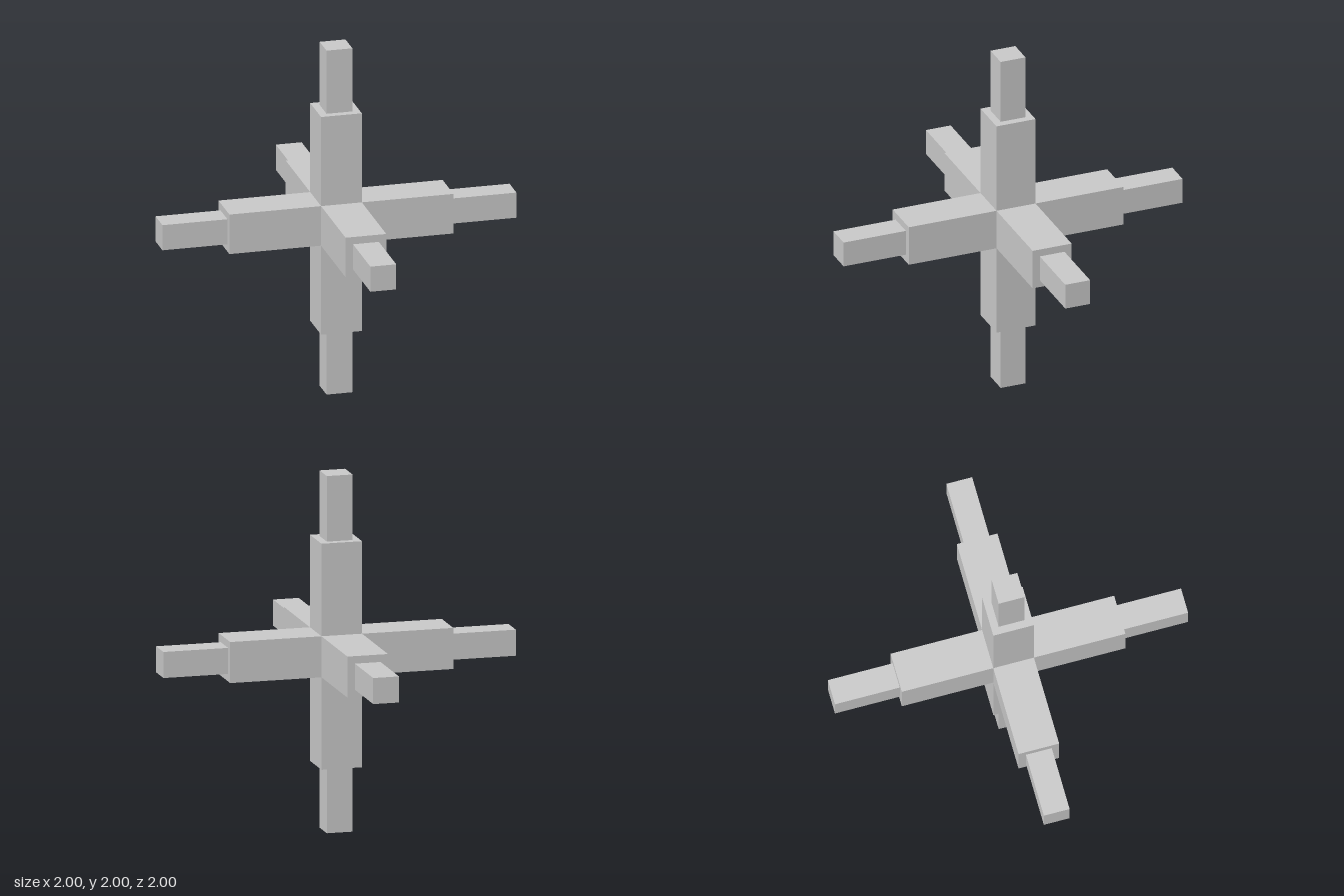
import * as THREE from 'three';

const BAR_WIDTH = 0.23;
const BAR_HALF = 0.633;
const TIP_WIDTH = 0.146;
const TIP_LENGTH = 1 - BAR_HALF;

export function createModel() {
  const model = new THREE.Group();
  model.name = 'sixArmedCross';
  const material = new THREE.MeshStandardMaterial({ color: 0xcccccc, flatShading: true });
  const barGeometry = new THREE.BoxGeometry(BAR_WIDTH, 2 * BAR_HALF, BAR_WIDTH);
  const tipGeometry = new THREE.BoxGeometry(TIP_WIDTH, TIP_LENGTH, TIP_WIDTH);

  // One thick bar per axis, with a thinner tip at each end
  const axes = { vertical: [0, 0, 0], sideways: [0, 0, -Math.PI / 2], lengthwise: [Math.PI / 2, 0, 0] };
  for (const [name, rotation] of Object.entries(axes)) {
    const axis = new THREE.Group();
    axis.name = `${name}Axis`;
    axis.rotation.set(...rotation);
    axis.position.y = 1;

    const bar = new THREE.Mesh(barGeometry, material);
    bar.name = `${name}Bar`;
    axis.add(bar);

    for (const side of [1, -1]) {
      const tip = new THREE.Mesh(tipGeometry, material);
      tip.name = `${name}${side > 0 ? 'Positive' : 'Negative'}Tip`;
      tip.position.y = side * (BAR_HALF + TIP_LENGTH / 2);
      axis.add(tip);
    }
    model.add(axis);
  }
  return model;
}
